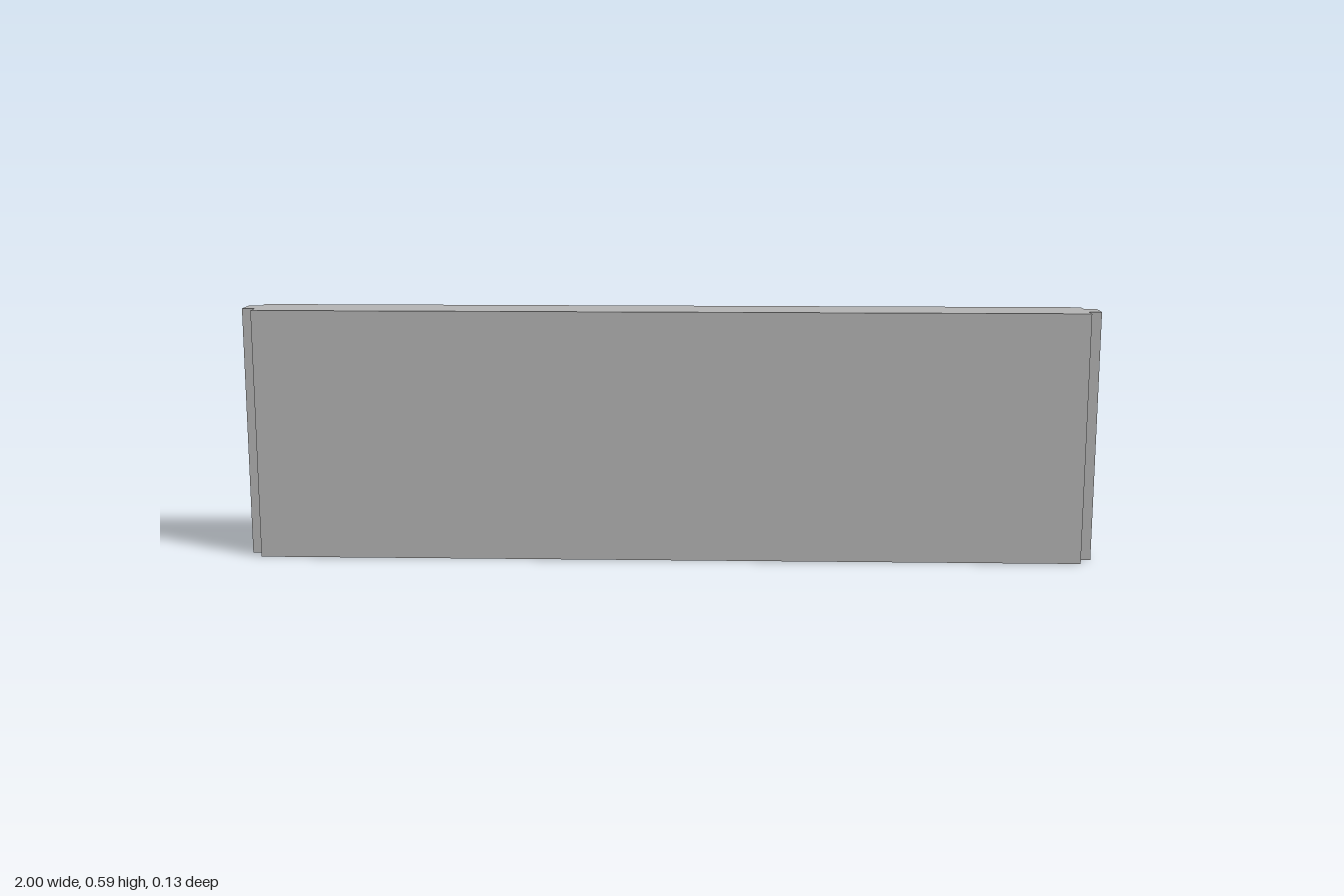
import * as THREE from 'three';

export function createModel() {
  const group = new THREE.Group();
  group.name = 'slidingPanel';
  const grey = new THREE.MeshStandardMaterial({ color: 0xb2b2b2 });
  grey.name = 'grey';

  const height = 0.59, inner = 0.97, front = 0.065, back = -0.065;

  // Panel with a tongue down each end, as a plan outline (x, z) raised to full height
  const half = [
    [inner, front], [inner, 0.028], [1, 0.028],
    [1, -0.03], [inner, -0.03], [inner, 0],
  ];
  const outline = [...half, ...half.map(([x, z]) => [-x, z]).reverse()];
  const plan = new THREE.Shape(outline.map(([x, z]) => new THREE.Vector2(x, -z)));
  const panelGeometry = new THREE.ExtrudeGeometry(plan, { depth: height, bevelEnabled: false });
  panelGeometry.rotateX(-Math.PI / 2);
  const panel = new THREE.Mesh(panelGeometry, grey);
  panel.name = 'panelWithEndTongues';
  group.add(panel);

  // Rail along the top of the back
  const railHeight = 0.065;
  const rail = new THREE.Mesh(new THREE.BoxGeometry(inner * 2, railHeight, -back), grey);
  rail.name = 'topBackRail';
  rail.position.set(0, height - railHeight / 2, back / 2);
  group.add(rail);

  return group;
}
